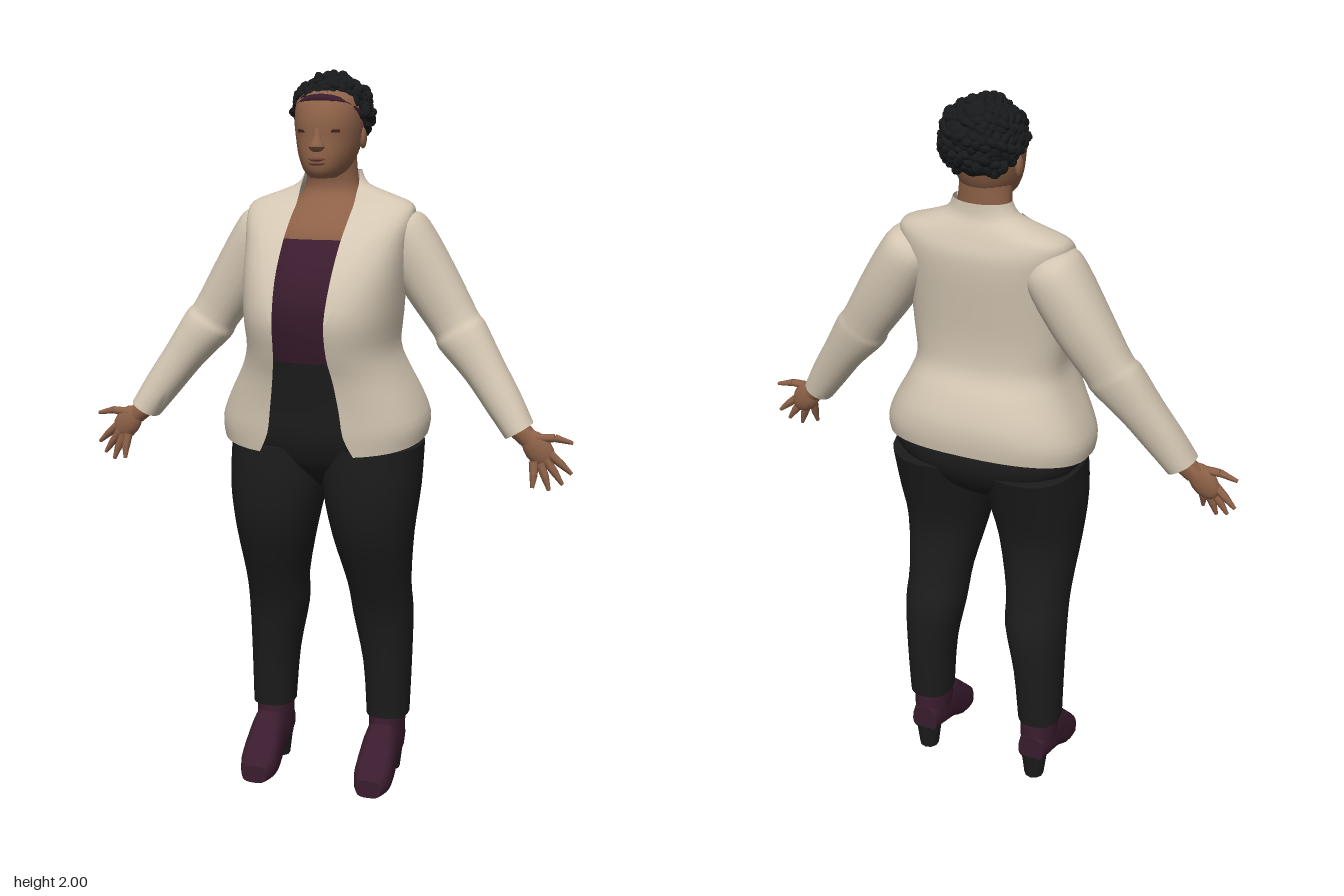
import * as THREE from 'three';
import { toCreasedNormals } from 'three/addons/utils/BufferGeometryUtils.js';

const material = (name, color, side = THREE.FrontSide) =>
  Object.assign(new THREE.MeshStandardMaterial({ color, side }), { name });

// Surface through a grid of points fn(i, j)
function grid(rows, cols, fn) {
  const pos = [], idx = [];
  for (let i = 0; i <= rows; i++) for (let j = 0; j <= cols; j++) pos.push(...fn(i, j));
  for (let i = 0; i < rows; i++) for (let j = 0; j < cols; j++) {
    const a = i * (cols + 1) + j, b = a + cols + 1;
    idx.push(a, a + 1, b, a + 1, b + 1, b);
  }
  const g = new THREE.BufferGeometry();
  g.setAttribute('position', new THREE.Float32BufferAttribute(pos, 3));
  g.setIndex(idx);
  return toCreasedNormals(g, 0.6);
}

// Smooth interpolation between cross-section keys, s is a fractional key index
function sample(keys, s) {
  const n = keys.length - 1, i = Math.min(Math.floor(s), n - 1), t = s - i;
  const k = (m) => keys[Math.max(0, Math.min(n, m))];
  return keys[0].map((_, c) => {
    const p0 = k(i - 1)[c], p1 = k(i)[c], p2 = k(i + 1)[c], p3 = k(i + 2)[c];
    return p1 + 0.5 * t * (p2 - p0 + t * (2 * p0 - 5 * p1 + 4 * p2 - p3 + t * (3 * (p1 - p2) + p3 - p0)));
  });
}

// Point on a section [x, y, z, halfWidth, front, back, power] at angle a (0 = front)
const pw = (v, p) => Math.sign(v) * Math.pow(Math.abs(v), p);
function section(k, a, u = [1, 0, 0], v = [0, 0, 1], off = 0) {
  const su = pw(Math.sin(a), k[6]) * (k[3] + off), c = Math.cos(a);
  const sv = pw(c, k[6]) * ((c > 0 ? k[4] : k[5]) + off);
  return [0, 1, 2].map((i) => k[i] + su * u[i] + sv * v[i]);
}

// Closed, capped loft through the keys
function loft(keys, u, v, cols = 24, per = 3) {
  const rows = (keys.length - 1) * per;
  return grid(rows + 2, cols, (i, j) => {
    const k = sample(keys, Math.max(0, Math.min(rows, i - 1)) / per);
    return i === 0 || i === rows + 2 ? k.slice(0, 3) : section(k, (j / cols) * Math.PI * 2, u, v);
  });
}

// Tapered round bar between two points
function bar(a, b, r0, r1) {
  const A = new THREE.Vector3(...a), B = new THREE.Vector3(...b), d = B.clone().sub(A);
  const g = new THREE.CylinderGeometry(r1, r0, d.length(), 7);
  g.applyQuaternion(new THREE.Quaternion().setFromUnitVectors(new THREE.Vector3(0, 1, 0), d.normalize()));
  return g.translate(...A.add(B).multiplyScalar(0.5).toArray());
}

export function createModel() {
  const root = new THREE.Group();
  root.name = 'standingWoman';
  const cream = material('creamCloth', 0xd3c6b2, THREE.DoubleSide);
  const black = material('blackCloth', 0x1c1c1c);
  const plum = material('plum', 0x3a1c2e);
  const skin = material('skin', 0x8d6147);
  const hairMat = material('hair', 0x17191a);
  const dark = material('darkFeature', 0x3a2219);
  const lip = material('lips', 0x76493a);
  hairMat.flatShading = true;
  const add = (name, geo, mat, parent = root) => {
    const m = new THREE.Mesh(geo, mat);
    m.name = name;
    parent.add(m);
    return m;
  };

  // Jacket shell, open at the front; last value is the x of the front edge
  const jacket = [
    [0, 0.995, -0.03, 0.28, 0.205, 0.19, 0.8, 0.13],
    [0, 1.05, -0.03, 0.285, 0.21, 0.195, 0.8, 0.105],
    [0, 1.12, -0.03, 0.262, 0.215, 0.19, 0.8, 0.095],
    [0, 1.2, -0.03, 0.225, 0.23, 0.165, 0.8, 0.083],
    [0, 1.27, -0.03, 0.203, 0.255, 0.135, 0.8, 0.072],
    [0, 1.36, -0.03, 0.21, 0.27, 0.13, 0.8, 0.07],
    [0, 1.46, -0.03, 0.217, 0.23, 0.14, 0.8, 0.075],
    [0, 1.55, -0.04, 0.223, 0.165, 0.14, 0.8, 0.078],
    [0, 1.61, -0.055, 0.232, 0.105, 0.125, 0.8, 0.08],
    [0, 1.648, -0.075, 0.222, 0.07, 0.092, 0.8, 0.08],
    [0, 1.675, -0.085, 0.155, 0.06, 0.07, 0.85, 0.08],
    [0, 1.7, -0.085, 0.097, 0.05, 0.058, 0.95, 0.08],
    [0, 1.735, -0.088, 0.078, 0.045, 0.052, 1, 0.075],
  ];
  const edge = (k, x) => Math.asin(Math.pow(Math.min(0.99, x / k[3]), 1 / k[6]));
  const onJacket = (k, a, off = 0) => {
    const p = section(k, a, undefined, undefined, off);
    p[1] += 0.065 * (0.5 - 0.5 * Math.cos(a)) * Math.max(0, 1 - (k[1] - 1) / 0.3);
    return p;
  };
  add('jacketBody', grid(36, 40, (i, j) => {
    const k = sample(jacket, i / 3), a0 = edge(k, k[7]);
    return onJacket(k, a0 + (2 * Math.PI - 2 * a0) * j / 40);
  }), cream);

  // Underlayers: camisole, chest and neck, trouser seat
  add('camisole', loft([
    [0, 1.24, -0.03, 0.165, 0.185, 0.1, 0.8], [0, 1.32, -0.03, 0.17, 0.205, 0.1, 0.75],
    [0, 1.4, -0.03, 0.175, 0.21, 0.1, 0.75], [0, 1.48, -0.03, 0.175, 0.18, 0.1, 0.75],
    [0, 1.56, -0.03, 0.15, 0.125, 0.1, 0.75]]), plum);
  add('chestAndNeck', loft([
    [0, 1.5, -0.04, 0.15, 0.13, 0.09, 0.8], [0, 1.57, -0.04, 0.15, 0.125, 0.09, 0.8],
    [0, 1.63, -0.06, 0.12, 0.09, 0.07, 0.85], [0, 1.68, -0.078, 0.08, 0.06, 0.05, 1],
    [0, 1.73, -0.075, 0.07, 0.06, 0.052, 1], [0, 1.8, -0.06, 0.068, 0.06, 0.07, 1]]), skin);
  add('trouserSeat', loft([
    [0, 0.88, -0.03, 0.12, 0.05, 0.07, 1], [0, 0.94, -0.035, 0.2, 0.125, 0.14, 0.9],
    [0, 1.02, -0.04, 0.265, 0.163, 0.175, 0.85], [0, 1.1, -0.04, 0.25, 0.17, 0.165, 0.9],
    [0, 1.2, -0.03, 0.2, 0.17, 0.13, 0.85], [0, 1.275, -0.03, 0.172, 0.18, 0.1, 0.8]]), black);

  for (const s of [1, -1]) {
    const side = s > 0 ? 'left' : 'right';
    const mir = (keys) => keys.map(([x, ...r]) => [x * s, ...r]);
    const lean = (keys) => mir(keys).map(([x, y, ...r]) => [x - 0.015 * Math.max(0, 1 - y), y, ...r]);

    // Lapel, collar and pocket flap lie just above the jacket surface
    const patch = (s0, s1, x0, width) => grid(10, 4, (i, j) => {
      const k = sample(jacket, s0 + (s1 - s0) * i / 10);
      const x = (x0 ?? k[7]) + width(i / 10) * j / 4;
      return onJacket(k, s * edge(k, x), 0.006);
    });
    add(side + 'Lapel', patch(5, 8.4, null, (t) => 0.005 + 0.07 * Math.min(1, t * 1.4)), cream);
    add(side + 'Collar', patch(8.5, 10.6, null, (t) => 0.055 * (1 - t)), cream);
    add(side + 'PocketFlap', patch(2.45, 2.8, 0.13, () => 0.06), cream);

    // Sleeve with a rounded shoulder cap
    const u = [-0.85, -0.52 * s, 0];
    add(side + 'Sleeve', loft(mir([
      [0.165, 1.612, -0.085, 0.03, 0.04, 0.045, 1], [0.182, 1.59, -0.085, 0.068, 0.075, 0.08, 0.9],
      [0.21, 1.545, -0.088, 0.078, 0.088, 0.088, 0.9],
      [0.277, 1.435, -0.09, 0.076, 0.08, 0.076, 0.9], [0.345, 1.33, -0.085, 0.067, 0.067, 0.06, 0.9],
      [0.365, 1.3, -0.078, 0.071, 0.072, 0.062, 0.9], [0.43, 1.215, -0.06, 0.057, 0.063, 0.056, 0.9],
      [0.49, 1.13, -0.04, 0.05, 0.058, 0.052, 0.9], [0.537, 1.06, -0.022, 0.042, 0.053, 0.052, 0.9]]), u), cream);

    // Hand with spread fingers, palm forward
    const hand = new THREE.Group();
    hand.name = side + 'Hand';
    root.add(hand);
    add('wrist', bar([0.525 * s, 1.075, -0.02], [0.57 * s, 1.035, -0.015], 0.03, 0.027), skin, hand);
    const palm = new THREE.SphereGeometry(1, 12, 8).scale(0.038, 0.056, 0.022);
    add('palm', palm.rotateZ(0.64 * s).translate(0.592 * s, 1.015, -0.008), skin, hand);
    const fingers = [
      [0.585, 1.045, 0.635, 1.048, 0.683, 1.037, -0.008], [0.622, 1.005, 0.652, 0.98, 0.682, 0.953, -0.008],
      [0.613, 0.99, 0.637, 0.958, 0.66, 0.925, 0], [0.6, 0.98, 0.615, 0.945, 0.627, 0.91, 0.01],
      [0.583, 0.985, 0.586, 0.95, 0.585, 0.918, 0.022]];
    for (const [x0, y0, x1, y1, x2, y2, z] of fingers) {
      add('fingerBase', bar([x0 * s, y0, z * 0.5], [x1 * s, y1, z], 0.013, 0.011), skin, hand);
      add('fingerTip', bar([x1 * s, y1, z], [x2 * s, y2, z * 1.4], 0.011, 0.005), skin, hand);
    }

    // Trouser leg
    add(side + 'TrouserLeg', loft(lean([
      [0.172, 0.19, -0.108, 0.06, 0.068, 0.07, 0.85], [0.168, 0.35, -0.105, 0.068, 0.083, 0.085, 0.9],
      [0.155, 0.5, -0.092, 0.084, 0.095, 0.1, 0.9], [0.15, 0.6, -0.06, 0.088, 0.1, 0.105, 0.9],
      [0.14, 0.75, -0.02, 0.112, 0.122, 0.125, 0.88], [0.134, 0.88, -0.02, 0.132, 0.142, 0.155, 0.85],
      [0.132, 1.0, -0.04, 0.134, 0.16, 0.172, 0.85]])), black);

    // Ankle boot with block heel
    add(side + 'BootShaft', loft(lean([
      [0.17, 0.08, -0.12, 0.046, 0.07, 0.055, 0.9], [0.17, 0.15, -0.11, 0.05, 0.075, 0.068, 0.9],
      [0.17, 0.24, -0.11, 0.05, 0.06, 0.06, 0.9]])), plum);
    add(side + 'BootFoot', loft(lean([
      [0.17, 0.1, -0.178, 0.038, 0.05, 0.03, 0.75], [0.17, 0.1, -0.12, 0.048, 0.07, 0.045, 0.75],
      [0.17, 0.085, -0.05, 0.05, 0.095, 0.057, 0.75], [0.17, 0.055, 0, 0.053, 0.085, 0.053, 0.7],
      [0.17, 0.035, 0.05, 0.052, 0.053, 0.034, 0.65], [0.17, 0.026, 0.086, 0.036, 0.026, 0.025, 0.65]]),
      [-1, 0, 0], [0, 1, 0]), plum);
    const heel = new THREE.CylinderGeometry(0.038, 0.028, 0.08, 10);
    add(side + 'BootHeel', heel.translate(0.17 * s - 0.013, 0.04, -0.148), black);

    // Ear and closed eye
    add(side + 'Ear', new THREE.SphereGeometry(1, 10, 8).scale(0.01, 0.028, 0.017)
      .translate(0.088 * s, 1.82, -0.065), skin);
    add(side + 'Eye', new THREE.BoxGeometry(0.036, 0.008, 0.008).rotateY(0.45 * s)
      .translate(0.039 * s, 1.84, 0.051), dark);
  }

  // Head, nose and mouth
  add('head', loft([
    [0, 1.718, 0.01, 0.032, 0.045, 0.05, 0.95], [0, 1.738, -0.02, 0.056, 0.09, 0.075, 0.95],
    [0, 1.775, -0.04, 0.075, 0.113, 0.09, 0.95], [0, 1.82, -0.05, 0.086, 0.117, 0.1, 0.95],
    [0, 1.87, -0.05, 0.091, 0.114, 0.11, 0.95], [0, 1.925, -0.055, 0.086, 0.093, 0.1, 1],
    [0, 1.955, -0.07, 0.05, 0.06, 0.06, 1]]), skin);
  add('nose', loft([
    [0, 1.787, 0.06, 0.014, 0.013, 0.02, 1], [0, 1.8, 0.062, 0.023, 0.029, 0.02, 1],
    [0, 1.82, 0.06, 0.014, 0.021, 0.02, 1], [0, 1.85, 0.055, 0.009, 0.011, 0.02, 1]],
    undefined, undefined, 12), skin);
  for (const y of [1.757, 1.768])
    add('lips', new THREE.SphereGeometry(1, 12, 6).scale(0.023, 0.006, 0.01).translate(0, y, 0.068), lip);

  // Headband tilted along the hairline
  const band = new THREE.TorusGeometry(1, 0.07, 6, 36).rotateX(Math.PI / 2).scale(0.09, 0.16, 0.105);
  add('headband', band.rotateX(-0.53).translate(0, 1.872, -0.056), plum);

  // Short curly hair: a cap covered with uneven tufts
  const hair = new THREE.Group();
  hair.name = 'hair';
  root.add(hair);
  add('hairCap', new THREE.SphereGeometry(1, 20, 14).scale(0.096, 0.09, 0.1)
    .rotateX(-0.3).translate(0, 1.893, -0.08), hairMat);
  const tuft = new THREE.IcosahedronGeometry(1, 1);
  for (let i = 0; i < 330; i++) {
    const h = 1 - (2 * i + 1) / 330, a = i * 2.39996, r = Math.sqrt(1 - h * h);
    const lift = 0.98 + 0.045 * Math.sin(i * 7.7);
    const x = 0.1 * lift * r * Math.cos(a), z = -0.077 + 0.1 * lift * r * Math.sin(a);
    const y = 1.882 + 0.097 * lift * h;
    if (y < Math.max(1.785, 1.862 + (z + 0.08) * 0.65)) continue;
    const m = add('curl', tuft, hairMat, hair);
    m.position.set(x, y, z);
    m.rotation.set(i, i * 1.7, i * 0.6);
    m.scale.set(0.018 + 0.004 * Math.sin(i * 5.1), 0.013, 0.02 + 0.004 * Math.cos(i * 3.3));
  }
  return root;
}
